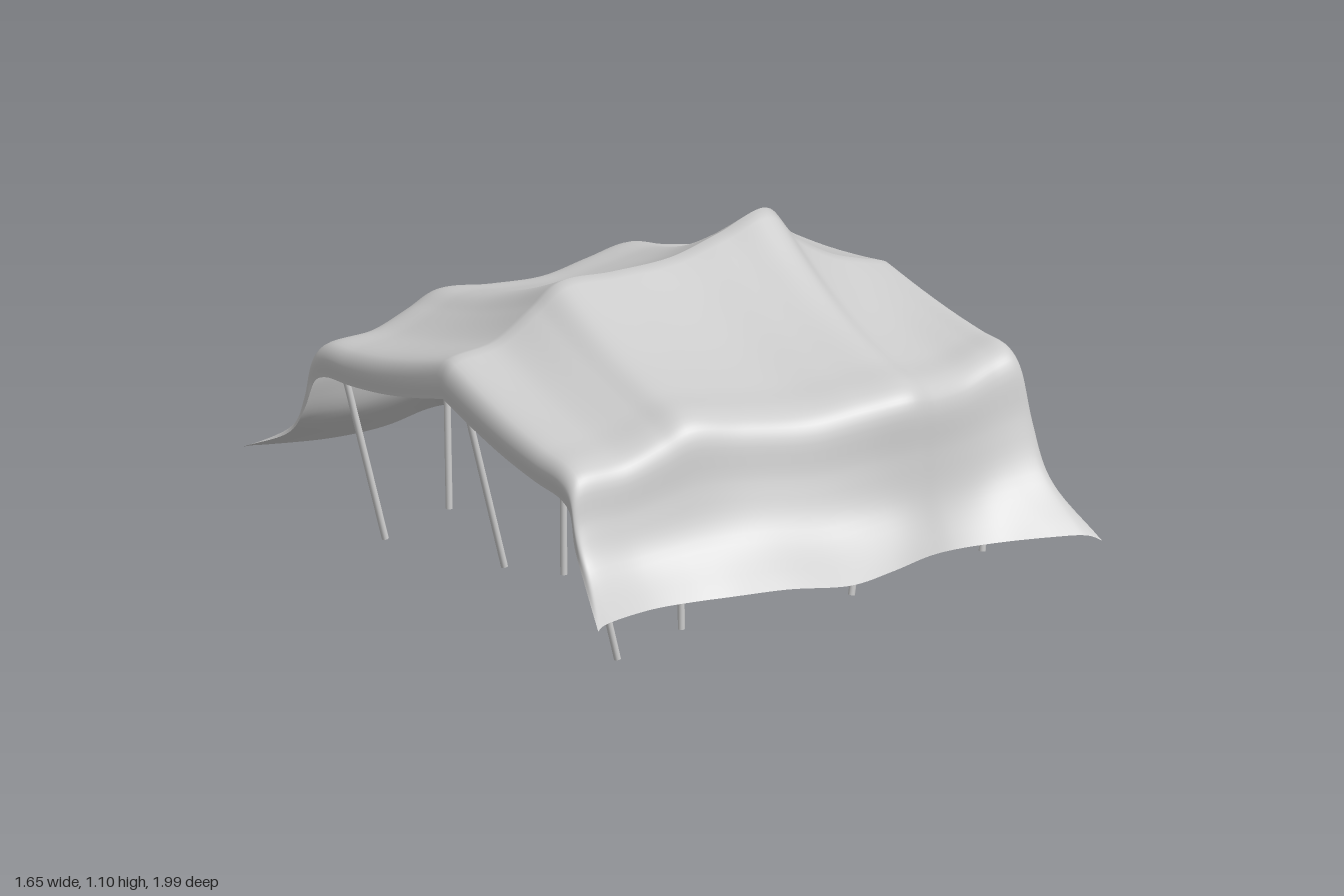
import * as THREE from 'three';

const cloth = new THREE.MeshStandardMaterial({ color: 0xcccccc, side: THREE.DoubleSide });
const wood = new THREE.MeshStandardMaterial({ color: 0xcccccc });

// Canopy stations along x:
// [x, ridgeY, sag, eaveZ, eaveY, wallX, hemX, hemZ, hemY]
const stations = [
  [-0.755, 0.70, 0.02, 0.69, 0.58, -0.772, -0.83, 0.99, 0.295],
  [-0.762, 0.755, 0.02, 0.70, 0.635, -0.762, -0.81, 0.975, 0.30],
  [-0.735, 0.81, 0.02, 0.705, 0.67, -0.735, -0.77, 0.955, 0.302],
  [-0.58, 0.842, 0.01, 0.71, 0.685, -0.59, -0.6, 0.912, 0.303],
  [-0.46, 0.92, 0.02, 0.715, 0.73, -0.46, -0.46, 0.915, 0.303],
  [-0.37, 0.985, 0.03, 0.72, 0.768, -0.37, -0.37, 0.932, 0.305],
  [-0.2, 0.988, 0.03, 0.732, 0.75, -0.2, -0.2, 0.98, 0.314],
  [0, 1.0, 0.035, 0.758, 0.735, 0, 0, 0.995, 0.297],
  [0.16, 1.047, 0.045, 0.785, 0.755, 0.16, 0.16, 0.96, 0.304],
  [0.31, 1.095, 0.06, 0.81, 0.772, 0.31, 0.31, 0.908, 0.31],
  [0.40, 1.0, 0.045, 0.785, 0.758, 0.40, 0.41, 0.887, 0.308],
  [0.52, 0.925, 0.03, 0.742, 0.757, 0.53, 0.55, 0.897, 0.308],
  [0.63, 0.89, 0.02, 0.705, 0.785, 0.65, 0.69, 0.945, 0.314],
  [0.705, 0.868, 0.012, 0.69, 0.80, 0.735, 0.77, 0.972, 0.314],
  [0.726, 0.84, 0.01, 0.685, 0.785, 0.755, 0.80, 0.98, 0.308],
  [0.724, 0.808, 0.008, 0.675, 0.758, 0.765, 0.825, 0.995, 0.295],
];

// Half section from the ridge over the eave and down to the hem
function sectionPoints([x, ridgeY, sag, eaveZ, eaveY, wallX, hemX, hemZ, hemY]) {
  const points = [];
  for (const t of [0, 0.25, 0.5, 0.75, 0.95]) {
    const y = THREE.MathUtils.lerp(ridgeY, eaveY, t) - sag * Math.sin(Math.PI * t);
    points.push(new THREE.Vector3(x, y, eaveZ * t));
  }
  const drop = (t, out) => new THREE.Vector3(
    THREE.MathUtils.lerp(x, wallX, t * 1.5), THREE.MathUtils.lerp(eaveY, hemY, t),
    THREE.MathUtils.lerp(eaveZ, hemZ, out));
  points.push(drop(0.08, 0.06), drop(0.4, 0.2), drop(0.7, 0.42));
  points.push(new THREE.Vector3(hemX, hemY, hemZ));
  return points;
}

// Smooth sheet lofted through the sections, mirrored about the ridge
function canopyGeometry(nx = 110, nz = 48) {
  const sections = stations.map(sectionPoints);
  const rails = sections[0].map((_, i) =>
    new THREE.CatmullRomCurve3(sections.map(s => s[i]), false, 'centripetal'));
  const position = [], index = [], columns = 2 * nz + 1;
  for (let i = 0; i <= nx; i++) {
    const half = new THREE.CatmullRomCurve3(rails.map(r => r.getPoint(i / nx)), false, 'centripetal');
    for (let j = -nz; j <= nz; j++) {
      const p = half.getPoint(Math.abs(j) / nz);
      position.push(p.x, p.y, Math.sign(j) * p.z);
    }
  }
  for (let i = 0; i < nx; i++) {
    for (let j = 0; j < columns - 1; j++) {
      const a = i * columns + j, b = a + columns;
      index.push(a, a + 1, b, b, a + 1, b + 1);
    }
  }
  const geometry = new THREE.BufferGeometry();
  geometry.setAttribute('position', new THREE.Float32BufferAttribute(position, 3));
  geometry.setIndex(index);
  geometry.computeVertexNormals();
  return geometry;
}

// Thin round pole between foot and top
function pole(name, foot, top) {
  const a = new THREE.Vector3(...foot), b = new THREE.Vector3(...top);
  const direction = b.clone().sub(a);
  const mesh = new THREE.Mesh(new THREE.CylinderGeometry(0.01, 0.01, direction.length(), 12), wood);
  mesh.name = name;
  mesh.position.copy(a).add(b).multiplyScalar(0.5);
  mesh.quaternion.setFromUnitVectors(new THREE.Vector3(0, 1, 0), direction.normalize());
  return mesh;
}

export function createModel() {
  const model = new THREE.Group();
  model.name = 'tent';

  const canopy = new THREE.Mesh(canopyGeometry(), cloth);
  canopy.name = 'canopy';
  model.add(canopy);

  // Ridge poles: [footX, footY, topX, topY]
  const poles = new THREE.Group();
  poles.name = 'poles';
  for (const [fx, fy, tx, ty] of [
    [-0.555, 0.17, -0.71, 0.79], [-0.36, 0.115, -0.36, 0.965],
    [0.29, 0, 0.295, 1.07], [0.505, 0.225, 0.635, 0.87],
  ]) poles.add(pole('ridgePole', [fx, fy, 0.005], [tx, ty, 0]));

  // Eave poles along the front and back
  for (const [fx, fy, tx, ty] of [
    [-0.58, 0.085, -0.71, 0.64], [-0.37, 0.14, -0.365, 0.76],
    [0.19, 0.15, 0.29, 0.76], [0.62, 0.21, 0.66, 0.77],
  ]) {
    poles.add(pole('frontEavePole', [fx, fy, 0.675], [tx, ty, 0.66]));
    poles.add(pole('backEavePole', [fx, fy, -0.615], [tx, ty, -0.645]));
  }
  model.add(poles);
  return model;
}
